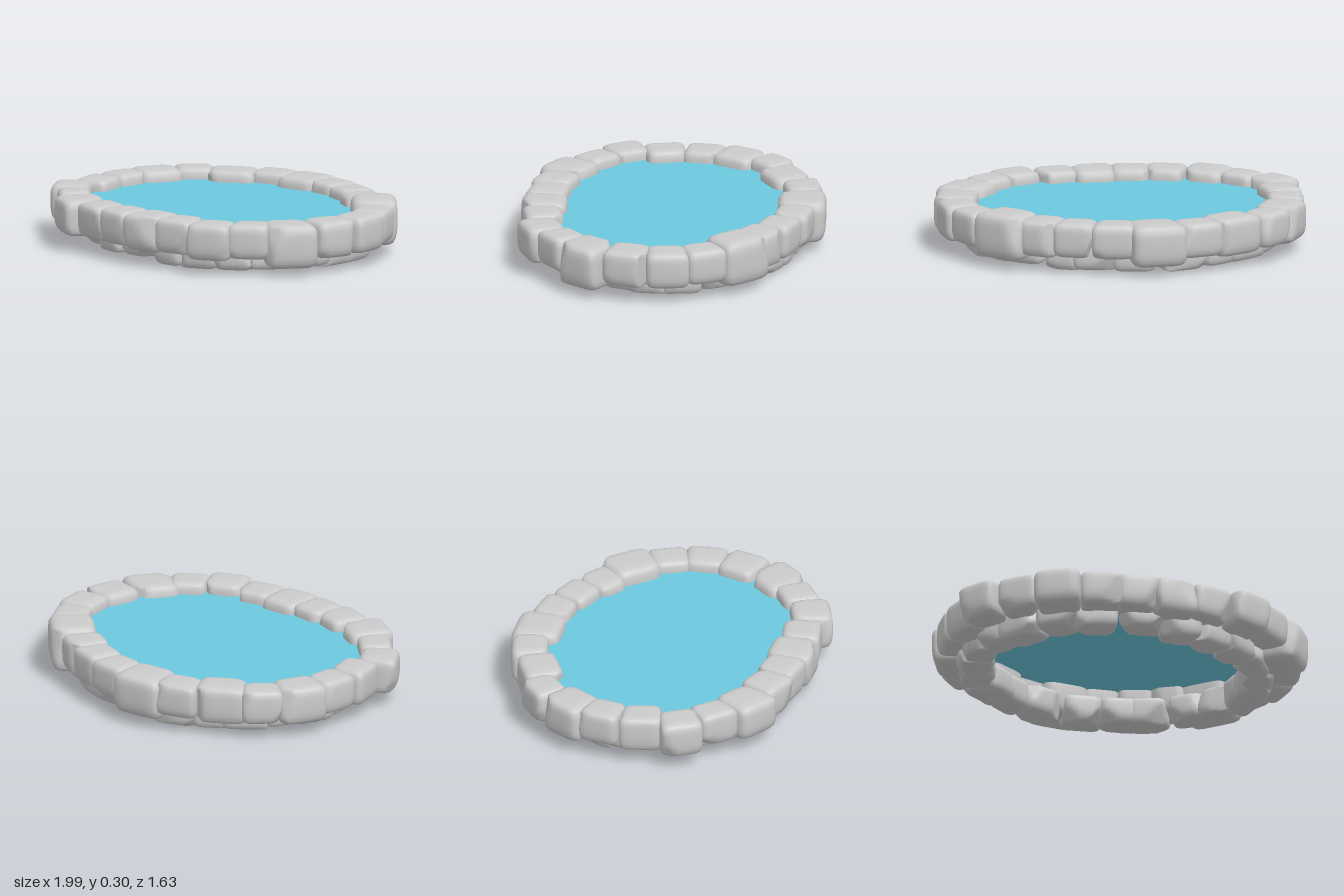
import * as THREE from 'three';
import { mergeVertices } from 'three/addons/utils/BufferGeometryUtils.js';

const stoneMaterial = new THREE.MeshStandardMaterial({ color: 0xcccccc });
const waterMaterial = new THREE.MeshStandardMaterial({ color: 0x6cc8de, side: THREE.DoubleSide });

// Rim stones, clockwise from the back: x, z, width along the rim, depth across it, bottom, top
const RIM = [
  [-0.15, -0.68, 0.27, 0.26, 0.05, 0.28], [0.07, -0.67, 0.21, 0.20, 0.09, 0.28],
  [0.27, -0.62, 0.20, 0.20, 0.09, 0.28], [0.44, -0.54, 0.19, 0.22, 0.08, 0.28],
  [0.63, -0.45, 0.27, 0.25, 0.05, 0.30], [0.79, -0.29, 0.20, 0.20, 0.09, 0.28],
  [0.87, -0.11, 0.21, 0.21, 0.08, 0.28], [0.87, 0.10, 0.22, 0.23, 0.08, 0.28],
  [0.80, 0.33, 0.25, 0.26, 0.04, 0.28], [0.67, 0.49, 0.20, 0.20, 0.09, 0.28],
  [0.52, 0.625, 0.22, 0.22, 0.08, 0.28], [0.30, 0.655, 0.20, 0.21, 0.09, 0.28],
  [0.10, 0.68, 0.22, 0.25, 0.08, 0.28], [-0.10, 0.69, 0.20, 0.22, 0.09, 0.28],
  [-0.29, 0.68, 0.21, 0.22, 0.09, 0.28], [-0.51, 0.64, 0.23, 0.25, 0.08, 0.28],
  [-0.69, 0.52, 0.20, 0.18, 0.09, 0.28], [-0.85, 0.39, 0.21, 0.21, 0.08, 0.28],
  [-0.87, 0.18, 0.21, 0.20, 0.08, 0.28], [-0.89, -0.03, 0.20, 0.20, 0.09, 0.28],
  [-0.85, -0.23, 0.24, 0.23, 0.07, 0.28], [-0.76, -0.42, 0.20, 0.19, 0.09, 0.28],
  [-0.56, -0.52, 0.26, 0.22, 0.07, 0.28], [-0.37, -0.65, 0.22, 0.20, 0.09, 0.28],
];

function seeded(seed) {
  let s = seed * 7919 + 17;
  return () => {
    s = (s * 16807) % 2147483647;
    return s / 2147483647;
  };
}

// Rounded block worn by a few flat cuts; local +z points away from the pond
function stoneGeometry(width, height, depth, seed, cuts, wear) {
  const random = seeded(seed);
  for (let i = 0; i < 5; i++) random();
  const box = new THREE.BoxGeometry(2, 2, 2, 8, 8, 8);
  box.deleteAttribute('normal');
  box.deleteAttribute('uv');
  const geometry = mergeVertices(box);
  const planes = Array.from({ length: cuts }, () => {
    const normal = new THREE.Vector3(
      random() < 0.5 ? -1 : 1, (random() - 0.7) * 1.2, random() < 0.5 ? -1 : 1);
    normal.x *= 0.3 + random();
    normal.z *= 0.3 + random();
    normal.normalize();
    const reach = Math.abs(normal.x) + Math.abs(normal.y) + Math.abs(normal.z);
    return { normal, limit: reach * (1 - wear - random() * 0.12) };
  });
  const skew = (random() - 0.5) * 0.16;
  const position = geometry.attributes.position;
  const v = new THREE.Vector3();
  for (let i = 0; i < position.count; i++) {
    v.fromBufferAttribute(position, i);
    const norm = (Math.abs(v.x) ** 6 + Math.abs(v.y) ** 6 + Math.abs(v.z) ** 6) ** (1 / 6);
    v.divideScalar(norm);
    for (const { normal, limit } of planes) {
      const over = v.dot(normal) - limit;
      if (over > 0) v.addScaledVector(normal, -over);
    }
    // wedge: wider on the outside, drawn in towards the bottom
    const low = Math.max(0, -v.y);
    v.x = v.x * (1 + 0.08 * v.z) + skew * v.z;
    v.z *= 1 - 0.12 * low * low;
    position.setXYZ(i, v.x * width / 2, v.y * height / 2, v.z * depth / 2);
  }
  geometry.computeVertexNormals();
  return geometry;
}

function addStone(parent, name, [x, z, width, depth, bottom, top], seed, cuts, wear) {
  const geometry = stoneGeometry(width, top - bottom, depth, seed, cuts, wear);
  const stone = new THREE.Mesh(geometry, stoneMaterial);
  stone.name = name;
  stone.position.set(x, (top + bottom) / 2, z);
  stone.rotation.y = Math.atan2(x / 0.77, z / 0.48);
  parent.add(stone);
  return stone;
}

export function createModel() {
  const pond = new THREE.Group();
  pond.name = 'stonePond';

  // Upper ring
  const rim = new THREE.Group();
  rim.name = 'rimStones';
  RIM.forEach((data, i) => {
    const [x, z, width, depth, bottom, top] = data;
    addStone(rim, `rimStone${i + 1}`, [x, z, width * 1.06, depth, bottom, top], i + 1, 3, 0.2);
  });
  pond.add(rim);

  // Smaller, rougher ring tucked underneath
  const base = new THREE.Group();
  base.name = 'baseStones';
  const count = 23;
  const random = seeded(91);
  for (let i = 0; i < count; i++) {
    const angle = (i + (random() - 0.5) * 0.3) / count * Math.PI * 2;
    const x = Math.cos(angle) * 0.765 - 0.02;
    const z = Math.sin(angle) * 0.61;
    const bottom = random() * 0.025;
    const width = 0.21 + random() * 0.04;
    const stone = addStone(base, `baseStone${i + 1}`,
      [x, z, width, 0.18 + random() * 0.03, bottom, 0.16], i + 101, 5, 0.26);
    stone.rotation.y += (random() - 0.5) * 0.3;
  }
  pond.add(base);

  // Water sheet, its edge hidden inside the rim stones
  const outline = RIM.map(([x, z]) => new THREE.Vector2(x * 0.98, -z * 0.98));
  outline.push(outline[0].clone());
  const shape = new THREE.Shape();
  shape.moveTo(outline[0].x, outline[0].y);
  shape.splineThru(outline.slice(1));
  const water = new THREE.Mesh(new THREE.ShapeGeometry(shape, 4).rotateX(-Math.PI / 2), waterMaterial);
  water.name = 'water';
  water.position.y = 0.22;
  pond.add(water);

  return pond;
}
